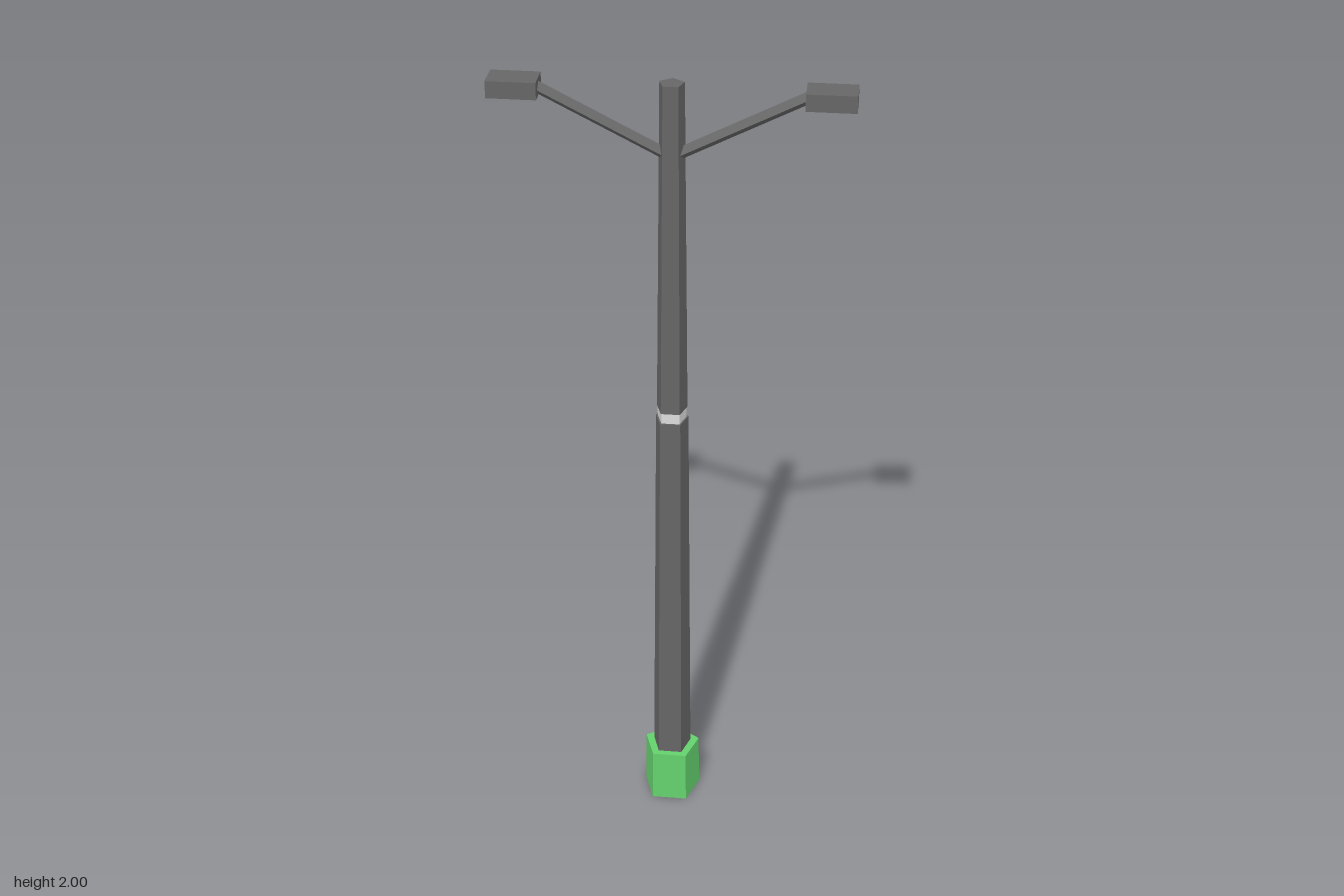
import * as THREE from 'three';

const material = (name, color) => {
  const m = new THREE.MeshStandardMaterial({ color, flatShading: true });
  m.name = name;
  return m;
};

export function createModel() {
  const grey = material('dark grey', 0x666666);
  const green = material('green', 0x64d26e);
  const white = material('off white', 0xdcdcdc);
  const group = new THREE.Group();
  group.name = 'streetLamp';
  const CZ = 0.005; // pole axis sits slightly forward

  const add = (name, geometry, mat, x, y, z) => {
    const mesh = new THREE.Mesh(geometry, mat);
    mesh.name = name;
    mesh.position.set(x, y, z);
    group.add(mesh);
    return mesh;
  };

  // Five-sided tapered section, flat side to the front
  const section = (name, mat, y0, y1, r0, r1) =>
    add(name, new THREE.CylinderGeometry(r1, r0, y1 - y0, 5, 1, false, Math.PI), mat, 0, (y0 + y1) / 2, CZ);

  section('base', green, 0, 0.145, 0.0755, 0.0735).scale.z = 0.95;
  section('lowerPole', grey, 0.145, 1.145, 0.051, 0.0415);
  section('poleBand', white, 1.145, 1.172, 0.037, 0.037);
  section('upperPole', grey, 1.172, 2, 0.039, 0.03);

  // Mirrored arms and lamp heads
  for (const side of [1, -1]) {
    const prefix = side > 0 ? 'left' : 'right';
    const dx = 0.3, dy = 0.153;
    const arm = add(prefix + 'Arm', new THREE.CylinderGeometry(0.0187, 0.0187, Math.hypot(dx, dy), 4),
      grey, side * 0.155, 1.903, 0.004);
    arm.scale.x = 0.75;
    arm.rotation.z = -side * Math.atan2(dx, dy);
    add(prefix + 'LampHead', new THREE.BoxGeometry(0.114, 0.04, 0.071), grey, side * 0.355, 1.98, CZ);
  }
  return group;
}
